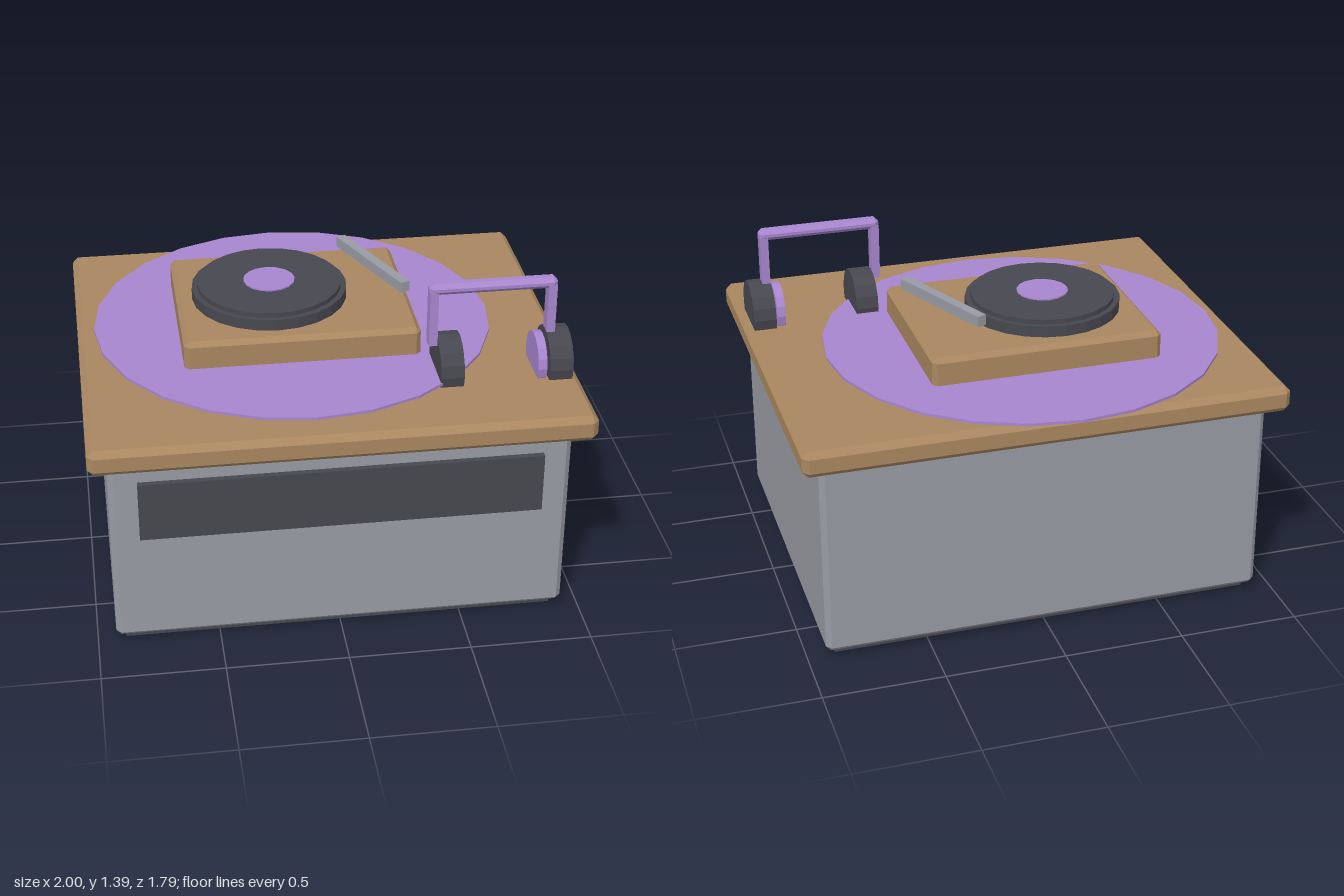
import * as THREE from 'three';
import { ConvexGeometry } from 'three/addons/geometries/ConvexGeometry.js';

const material = (name, color) => {
  const m = new THREE.MeshStandardMaterial({ color, flatShading: true });
  m.name = name;
  return m;
};

// Box with a single flat chamfer of size b on every edge
function chamferBox(w, h, d, b) {
  const points = [];
  for (const sx of [-1, 1]) for (const sy of [-1, 1]) for (const sz of [-1, 1]) {
    const x = w / 2, y = h / 2, z = d / 2;
    points.push(
      new THREE.Vector3(sx * x, sy * (y - b), sz * (z - b)),
      new THREE.Vector3(sx * (x - b), sy * y, sz * (z - b)),
      new THREE.Vector3(sx * (x - b), sy * (y - b), sz * z));
  }
  return new ConvexGeometry(points);
}

export function createModel() {
  const model = new THREE.Group();
  model.name = 'turntableCabinet';
  const wood = material('wood', 0xa98760);
  const grey = material('grey', 0x989ba3);
  const dark = material('charcoal', 0x47474f);
  const purple = material('purple', 0xa886cf);

  const add = (name, geometry, mat, x, y, z, parent = model) => {
    const mesh = new THREE.Mesh(geometry, mat);
    mesh.name = name;
    mesh.position.set(x, y, z);
    parent.add(mesh);
    return mesh;
  };
  const disc = (name, r, y0, y1, mat, x, z, sides = 24) =>
    add(name, new THREE.CylinderGeometry(r, r, y1 - y0, sides), mat, x, (y0 + y1) / 2, z);

  // Cabinet
  add('plinth', new THREE.BoxGeometry(1.77, 0.06, 1.44), dark, 0, 0.03, 0.015);
  add('cabinetBody', chamferBox(1.85, 0.85, 1.535, 0.022), grey, 0, 0.455, 0.0125);
  add('frontPanel', new THREE.BoxGeometry(1.62, 0.255, 0.05), dark, 0, 0.6425, 0.78);
  add('tableTop', chamferBox(2, 0.11, 1.72, 0.025), wood, 0, 0.925, 0.03);

  // Round mat and record player
  disc('roundMat', 0.835, 0.992, 1.004, purple, -0.095, -0.062);
  add('playerBase', chamferBox(0.97, 0.145, 0.785, 0.02), wood, -0.095, 1.0475, -0.0625);
  disc('platter', 0.325, 1.12, 1.167, dark, -0.19, -0.062);
  disc('record', 0.302, 1.167, 1.187, dark, -0.19, -0.062);
  disc('recordLabel', 0.108, 1.187, 1.193, purple, -0.19, -0.062, 16);
  add('toneArm', new THREE.BoxGeometry(0.042, 0.045, 0.51), grey, 0.255, 1.2125, -0.107)
    .rotation.y = 0.402;

  // Headphones standing on the table top
  const headphones = new THREE.Group();
  headphones.name = 'headphones';
  headphones.position.set(0.648, 0, 0.452);
  model.add(headphones);
  const pad = (name, r, w, sides, mat, x) =>
    add(name, new THREE.CylinderGeometry(r, r, w, sides), mat, x, 1.025, 0, headphones)
      .rotation.z = Math.PI / 2;
  for (const [side, s] of [['right', -1], ['left', 1]]) {
    pad(side + 'EarCup', 0.13, 0.095, 16, dark, s * 0.2225 + 0.047);
    pad(side + 'EarCushion', 0.11, 0.036, 16, purple, s * 0.196);
    add(side + 'BandArm', new THREE.BoxGeometry(0.035, 0.24, 0.055), purple,
      s * 0.24, 1.24, 0, headphones);
  }
  add('headBand', chamferBox(0.52, 0.047, 0.06, 0.017), purple, 0, 1.366, 0, headphones);

  return model;
}
